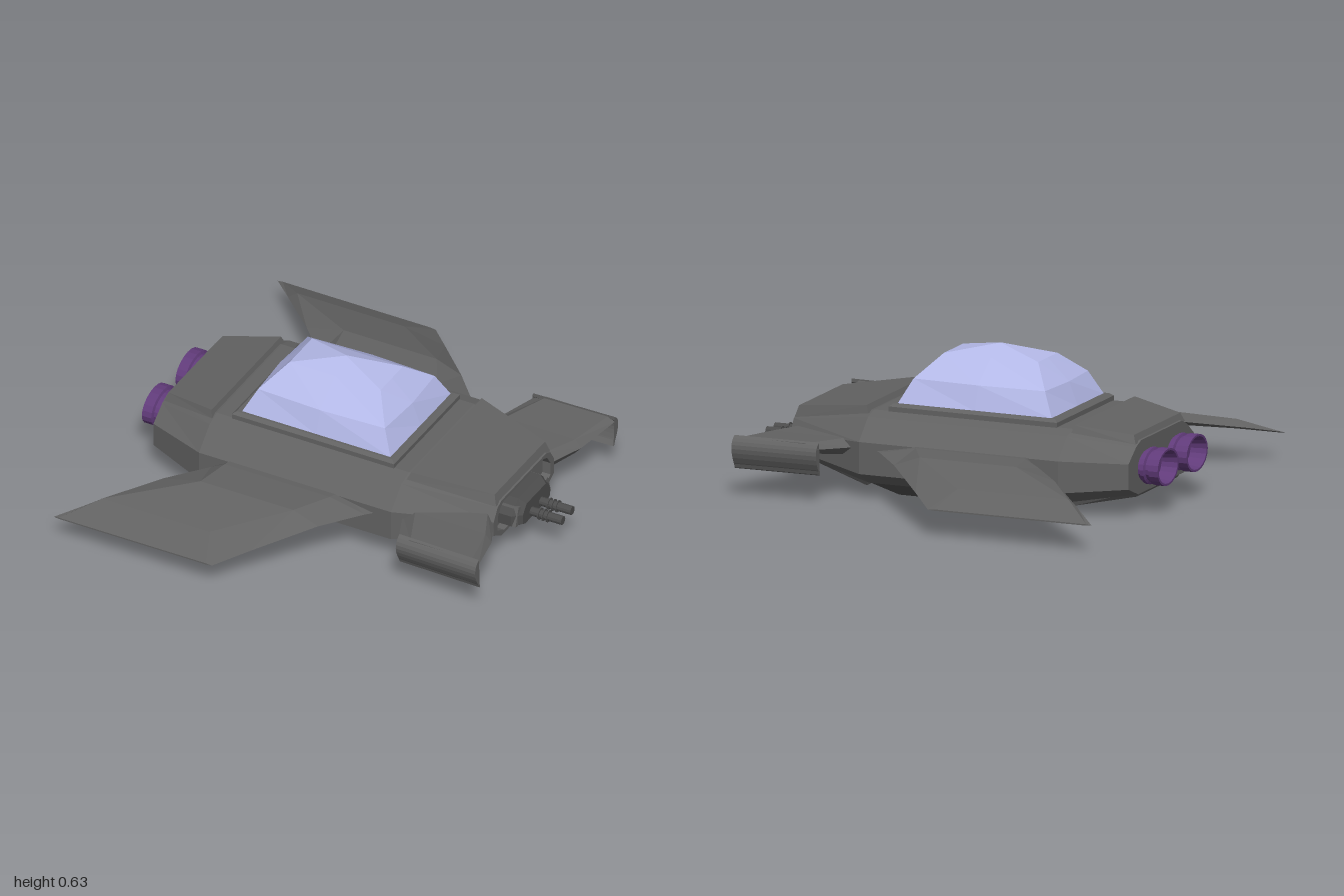
import * as THREE from 'three';

const paint = (color) => new THREE.MeshStandardMaterial({ color, flatShading: true, side: THREE.DoubleSide });

// Skins a list of equal-length closed rings of [x, y, z], caps both ends, faces outward.
function loft(rings) {
  const tris = [];
  const n = rings[0].length;
  for (let r = 0; r + 1 < rings.length; r++) {
    for (let i = 0; i < n; i++) {
      const j = (i + 1) % n;
      const [a, b, c, d] = [rings[r][i], rings[r][j], rings[r + 1][j], rings[r + 1][i]];
      tris.push([a, b, c], [a, c, d]);
    }
  }
  const first = rings[0], last = rings[rings.length - 1];
  for (let i = 1; i + 1 < n; i++) {
    tris.push([first[0], first[i + 1], first[i]], [last[0], last[i], last[i + 1]]);
  }
  // signed volume tells which way the faces wind
  let volume = 0;
  for (const [a, b, c] of tris) {
    volume += new THREE.Vector3(...a).dot(new THREE.Vector3(...b).cross(new THREE.Vector3(...c)));
  }
  if (volume < 0) tris.forEach((t) => t.reverse());
  const geo = new THREE.BufferGeometry();
  geo.setAttribute('position', new THREE.Float32BufferAttribute(tris.flat(2), 3));
  geo.computeVertexNormals();
  return geo;
}

// Mirrored ring across the ship at one x, from half-profile [y, z] pairs, top to bottom.
const section = (x, half) => [
  ...half.map(([y, z]) => [x, y, z]),
  ...half.slice().reverse().map(([y, z]) => [x, y, -z]),
];

// Horizontal rectangle ring
const rect = (x0, x1, y, z) => [[x0, y, z], [x1, y, z], [x1, y, -z], [x0, y, -z]];

// Sloping trapezoid ring, half-width z0 at x0 and z1 at x1
const slope = (x0, y0, z0, x1, y1, z1) => [[x0, y0, z0], [x1, y1, z1], [x1, y1, -z1], [x0, y0, -z0]];

export function createModel() {
  const ship = new THREE.Group();
  ship.name = 'spaceship';
  const grey = paint(0x626262);
  const dark = paint(0x4c4c4c);
  const purple = paint(0x613b7a);
  const glass = paint(0xb4b9e8);

  const add = (name, geo, mat = grey) => {
    const mesh = new THREE.Mesh(geo, mat);
    mesh.name = name;
    ship.add(mesh);
    return mesh;
  };

  // Hull with a recessed nose
  const tail = [[0.32, 0.21], [0.3, 0.26], [0.24, 0.34], [0.13, 0.34], [0.09, 0.24]];
  const mid = [[0.36, 0.29], [0.34, 0.355], [0.25, 0.45], [0.11, 0.45], [0.05, 0.34]];
  const nose = [[0.29, 0.2], [0.275, 0.235], [0.22, 0.27], [0.15, 0.27], [0.11, 0.2]];
  const inset = nose.map(([y, z]) => [0.2 + (y - 0.2) * 0.84, z * 0.88]);
  add('hull', loft([
    section(-0.85, tail), section(-0.57, mid), section(0.36, mid),
    section(0.76, nose), section(0.76, inset), section(0.72, inset),
  ]));

  // Raised panels, above and below
  add('rearTopPanel', loft([
    slope(-0.575, 0.35, 0.325, -0.845, 0.31, 0.255), slope(-0.585, 0.382, 0.31, -0.83, 0.347, 0.24)]));
  add('frontTopPanel', loft([
    slope(0.37, 0.35, 0.33, 0.755, 0.28, 0.24), slope(0.385, 0.382, 0.315, 0.74, 0.33, 0.225)]));
  add('rearBottomPanel', loft([
    slope(-0.57, 0.06, 0.32, -0.845, 0.1, 0.23), slope(-0.58, 0.028, 0.3, -0.83, 0.072, 0.21)]));
  add('frontBottomPanel', loft([
    slope(0.38, 0.06, 0.32, 0.74, 0.115, 0.19), slope(0.39, 0.028, 0.3, 0.72, 0.09, 0.17)]));
  add('bellyPlate', loft([rect(-0.56, 0.36, 0.051, 0.335), rect(-0.44, 0.24, 0, 0.295)]), dark);

  // Canopy frame and faceted canopy
  add('canopyFrame', loft([
    rect(-0.495, 0.29, 0.355, 0.295), rect(-0.495, 0.29, 0.38, 0.295), rect(-0.48, 0.275, 0.392, 0.28)]));
  const canopyRing = (y, hx, hz, bow) => [
    [hx, hz], [0, hz + bow], [-hx, hz], [-hx - bow, 0], [-hx, -hz], [0, -hz - bow], [hx, -hz], [hx + bow, 0],
  ].map(([x, z]) => [x - 0.1, y, z]);
  add('canopy', loft([
    canopyRing(0.39, 0.36, 0.27, 0), canopyRing(0.495, 0.307, 0.222, 0.013),
    canopyRing(0.59, 0.22, 0.1, 0), canopyRing(0.635, 0.002, 0.002, 0),
  ]), glass);

  // Nozzle profile: radius, distance behind the hull; inner wall makes it hollow
  const nozzleProfile = [
    [0.094, -0.01], [0.094, 0.015], [0.108, 0.015], [0.108, 0.03], [0.094, 0.035], [0.094, 0.05],
    [0.11, 0.055], [0.11, 0.1], [0.098, 0.1], [0.085, 0.03], [0, 0.03],
  ].map(([r, h]) => new THREE.Vector2(r, h));

  for (const s of [1, -1]) {
    const side = s > 0 ? 'left' : 'right';

    // Swept, drooping wing: z, trailing x, rear ridge x, front ridge x, leading x, edge y, top y, bottom y
    const wing = [
      [0.42, -0.46, -0.42, 0.1, 0.3, 0.215, 0.25, 0.17],
      [0.48, -0.495, -0.43, 0.08, 0.25, 0.22, 0.255, 0.185],
      [0.64, -0.64, -0.46, -0.01, 0.11, 0.21, 0.255, 0.19],
      [0.87, -0.855, -0.81, -0.29, -0.095, 0.155, 0.19, 0.148],
      [1, -0.975, -0.95, -0.24, -0.21, 0.12, 0.123, 0.117],
    ].map(([z, t, r, f, l, e, top, low]) => [
      [t, e, z * s], [r, top, z * s], [f, top, z * s], [l, e, z * s], [f, low, z * s], [r, low, z * s],
    ]);
    add(side + 'Wing', loft(wing));

    // Short front winglet
    const winglet = [
      [0.26, 0.36, 0.755, 0.16, 0.25],
      [0.4, 0.39, 0.82, 0.18, 0.25],
      [0.61, 0.48, 0.868, 0.215, 0.26],
    ].map(([z, x0, x1, low, top]) => [
      [x0, (low + top) / 2, z * s], [x0 + 0.06, top, z * s], [x1 - 0.03, top, z * s],
      [x1, (low + top) / 2, z * s], [x1 - 0.03, low, z * s], [x0 + 0.06, low, z * s],
    ]);
    add(side + 'Winglet', loft(winglet));

    // Curved plate at the winglet tip: crescent across, swept along x
    const outer = new THREE.QuadraticBezierCurve(
      new THREE.Vector2(0.6, 0.266), new THREE.Vector2(0.672, 0.23), new THREE.Vector2(0.592, 0.12)).getPoints(8);
    const inner = new THREE.QuadraticBezierCurve(
      new THREE.Vector2(0.6, 0.125), new THREE.Vector2(0.64, 0.22), new THREE.Vector2(0.6, 0.25)).getPoints(8);
    add(side + 'WingletTip', loft([0.48, 0.87].map((x) =>
      [...outer, ...inner].map((p) => [x, p.y, (p.x + (x > 0.6 ? 0.005 : -0.005)) * s]))));

    // Engine nozzle, flattened into an oval
    const engine = add(side + 'Engine', new THREE.LatheGeometry(nozzleProfile, 20), purple);
    engine.rotation.z = Math.PI / 2;
    engine.scale.set(0.73, 1, 1);
    engine.position.set(-0.85, 0.2, 0.15 * s);

    // Gun barrel with collars, and its side bracket
    const barrel = (name, r, x0, x1) => {
      const mesh = add(name, new THREE.CylinderGeometry(r, r, x1 - x0, 12), dark);
      mesh.rotation.z = Math.PI / 2;
      mesh.position.set((x0 + x1) / 2, 0.16, 0.042 * s);
    };
    barrel(side + 'GunBarrel', 0.02, 0.78, 0.972);
    for (const x of [0.86, 0.88, 0.9]) barrel(side + 'GunCollar', 0.027, x, x + 0.005);
    const bracket = add(side + 'NoseBracket', new THREE.BoxGeometry(0.09, 0.09, 0.02), grey);
    bracket.position.set(0.76, 0.18, 0.135 * s);
    bracket.rotation.x = -0.3 * s;
  }

  // Gun housing in the nose recess
  const housing = [[0.25, 0.1], [0.19, 0.16], [0.14, 0.16], [0.125, 0.13]];
  const housingTip = [[0.225, 0.085], [0.185, 0.12], [0.14, 0.12], [0.13, 0.1]];
  add('gunHousing', loft([section(0.71, housing), section(0.785, housing), section(0.82, housingTip)]), dark);

  return ship;
}
